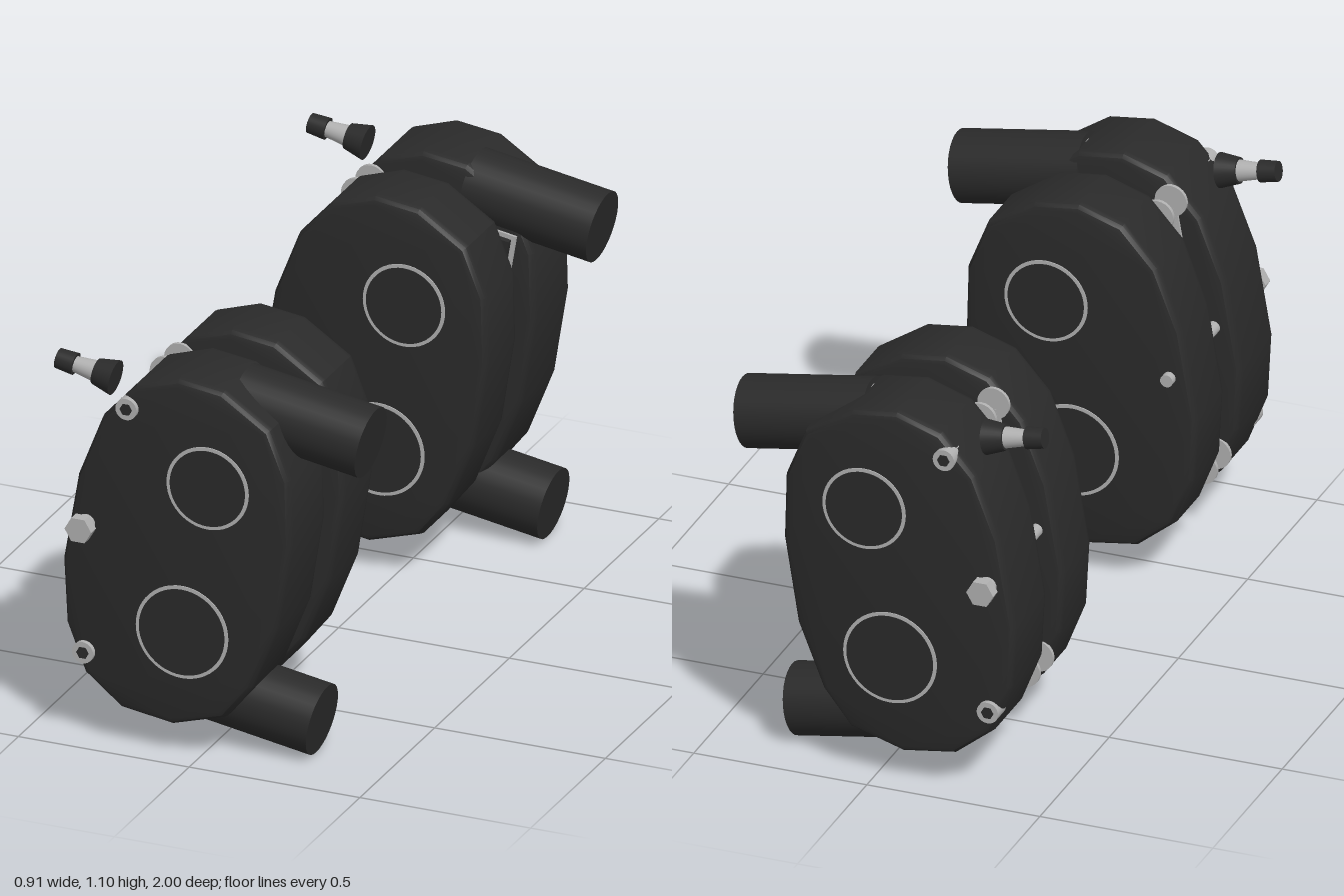
import * as THREE from 'three';
import { toCreasedNormals } from 'three/addons/utils/BufferGeometryUtils.js';

const black = new THREE.MeshStandardMaterial({ name: 'black', color: 0x2a2a2a });
const silver = new THREE.MeshStandardMaterial({ name: 'silver', color: 0xb0b0b0 });

const TILT = -0.166; // lean shared by the tubes, pads and bleeder
const OUTLINE = [
  [-0.06, 1.107], [-0.186, 1.066], [-0.286, 0.955], [-0.356, 0.776], [-0.4, 0.52], [-0.39, 0.333],
  [-0.336, 0.195], [-0.23, 0.11], [-0.078, 0.087], [0.075, 0.133], [0.154, 0.233], [0.228, 0.42],
  [0.268, 0.67], [0.263, 0.86], [0.207, 1.0], [0.07, 1.09],
];
const SCREWS = [[-0.204, 1.0], [-0.331, 0.263]];
const PISTONS = [[0.03, 0.805, 0.12], [-0.045, 0.37, 0.135]];
const PIN = [-0.326, 0.64];

function add(parent, name, geometry, material, x = 0, y = 0, z = 0) {
  const mesh = new THREE.Mesh(geometry, material);
  mesh.name = name;
  mesh.position.set(x, y, z);
  parent.add(mesh);
  return mesh;
}

// Cylinder along z between two depths
function rod(parent, name, material, x, y, r, z0, z1, sides = 24) {
  const geo = new THREE.CylinderGeometry(r, r, Math.abs(z1 - z0), sides);
  geo.rotateY(Math.PI / 2).rotateX(Math.PI / 2);
  if (sides === 6) geo.rotateZ(Math.PI / 6 * (geo.attributes.position.getX(0) ? 0 : 1));
  return add(parent, name, sides < 12 ? toCreasedNormals(geo, 0.5) : geo, material, x, y, (z0 + z1) / 2);
}

// Cylinder in the x-y plane, running from its start along the shared lean
function leaning(parent, name, material, start, from, to, r0, r1, z) {
  const geo = new THREE.CylinderGeometry(r1, r0, to - from, 32);
  geo.rotateZ(-Math.PI / 2);
  const mid = (from + to) / 2;
  const mesh = add(parent, name, geo, material,
    start[0] + mid * Math.cos(TILT), start[1] + mid * Math.sin(TILT), z);
  mesh.rotation.z = TILT;
  return mesh;
}

// Rounded housing half between two depths
function housing(parent, name, z0, z1) {
  const bevel = 0.03, depth = Math.abs(z1 - z0);
  const shape = new THREE.Shape(OUTLINE.map(([x, y]) => new THREE.Vector2(x, y)));
  const geo = new THREE.ExtrudeGeometry(shape, {
    depth: depth - 2 * bevel, bevelThickness: bevel, bevelSize: 0.022, bevelOffset: -0.022, bevelSegments: 3,
  });
  geo.translate(0, 0, bevel - depth / 2);
  add(parent, name, toCreasedNormals(geo, 0.5), black, 0, 0, (z0 + z1) / 2);
}

// Ringed piston covers on a housing face; dir is the way the face looks
function pistonCovers(parent, z, dir) {
  for (const [x, y, r] of PISTONS) {
    rod(parent, 'pistonRing', silver, x, y, r, z - dir * 0.004, z + dir * 0.003, 48);
    rod(parent, 'pistonCover', black, x, y, r - 0.01, z - dir * 0.002, z + dir * 0.005, 48);
  }
}

// Brake pad on its backing plate, at the gap side of a housing
function pad(parent, z, dir) {
  const plate = add(parent, 'backingPlate', new THREE.BoxGeometry(0.44, 0.715, 0.012), silver,
    -0.055, 0.595, z);
  plate.rotation.z = TILT;
  const block = add(parent, 'brakePad', new THREE.BoxGeometry(0.415, 0.69, 0.022), black,
    -0.055, 0.595, z + dir * 0.013);
  block.rotation.z = TILT;
  // Lobes around the screws, joined by a straight strip
  const [a, b] = SCREWS;
  for (const [x, y] of SCREWS) rod(parent, 'plateLobe', silver, x, y, 0.046, z - 0.0055, z + 0.0055);
  const strip = add(parent, 'plateStrip',
    new THREE.BoxGeometry(0.05, Math.hypot(a[0] - b[0], a[1] - b[1]), 0.011), silver,
    (a[0] + b[0]) / 2 + 0.012, (a[1] + b[1]) / 2, z);
  strip.rotation.z = -Math.atan2(a[0] - b[0], a[1] - b[1]);
}

// One caliper; s is +1 for the front and -1 for the rear
function caliper(s) {
  const g = new THREE.Group();
  g.name = s > 0 ? 'frontCaliper' : 'rearCaliper';

  housing(g, 'outerHousing', s * 0.69, s * 0.943);
  housing(g, 'innerHousing', s * 0.37, s * 0.59);
  pistonCovers(g, s * 0.943, s);
  pistonCovers(g, s * 0.37, -s);
  pad(g, s * 0.688, -s);
  pad(g, s * 0.592, s);

  // Through bolt with hex head
  rod(g, 'throughPin', silver, ...PIN, 0.018, s * 0.347, s * 0.95);
  rod(g, 'boltCollar', silver, ...PIN, 0.026, s * 0.94, s * 0.97);
  rod(g, 'boltHead', silver, ...PIN, 0.039, s * 0.967, s * 1.0, 6);

  // Socket screws
  for (const [x, y] of SCREWS) {
    rod(g, 'socketScrew', silver, x, y, 0.031, s * 0.9, s * 0.957);
    rod(g, 'screwSocket', black, x, y, 0.018, s * 0.95, s * 0.959, 6);
  }

  // Fluid tubes
  for (const start of [[0.06, 1.005], [-0.083, 0.166]]) {
    leaning(g, 'fluidTube', black, start, 0, 0.378, 0.101, 0.101, s * 0.774);
    leaning(g, 'tubeSeal', silver, start, -0.005, 0.003, 0.085, 0.085, s * 0.774);
  }

  // Bleeder valve
  const tip = [-0.452, 1.061];
  leaning(g, 'bleederCap', black, tip, 0, 0.052, 0.028, 0.031, s * 0.843);
  leaning(g, 'bleederStem', silver, tip, 0.05, 0.115, 0.022, 0.03, s * 0.843);
  leaning(g, 'bleederBase', black, tip, 0.113, 0.17, 0.036, 0.049, s * 0.843);
  return g;
}

export function createModel() {
  const model = new THREE.Group();
  model.name = 'brakeCalipers';
  model.add(caliper(1), caliper(-1));
  return model;
}
